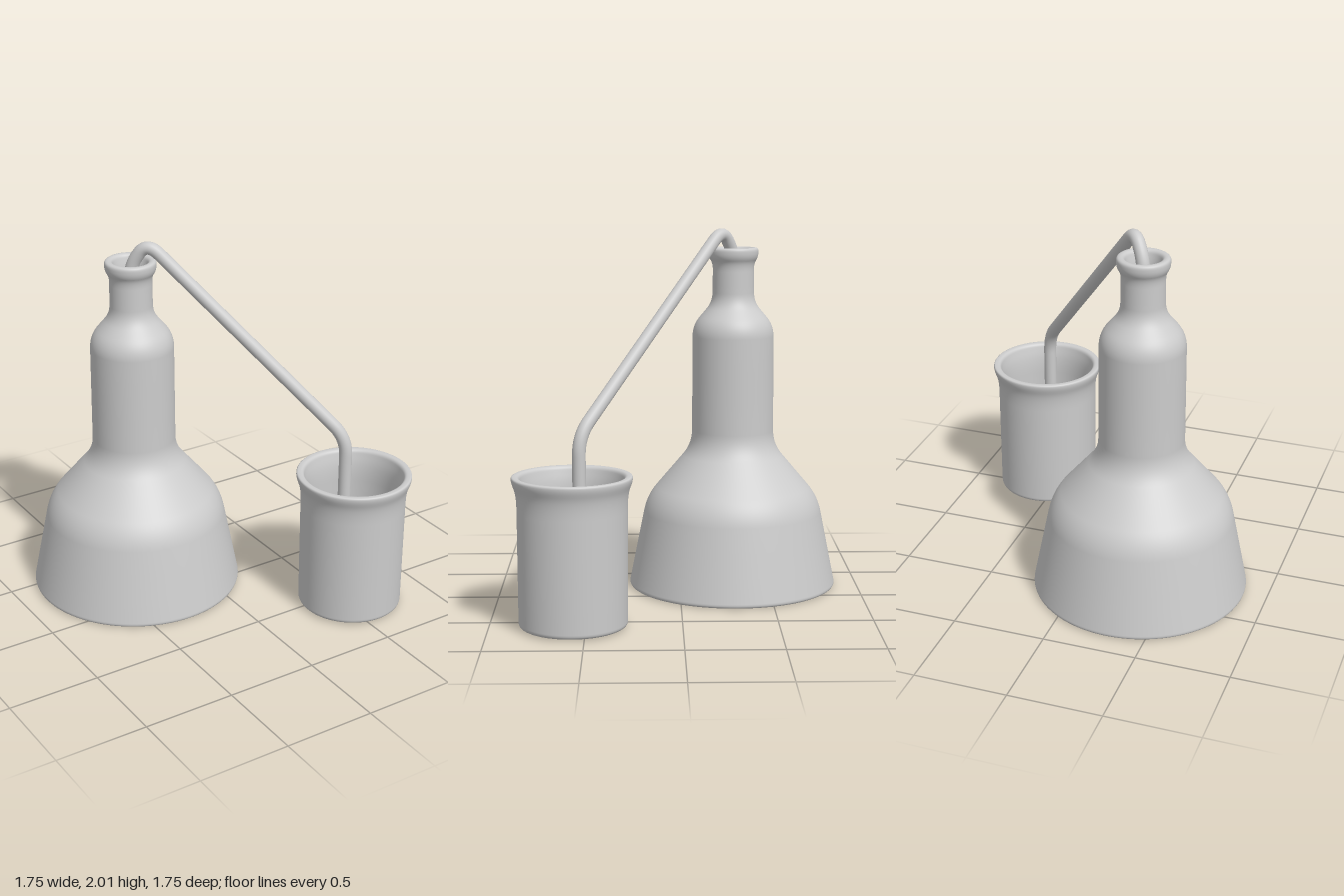
import * as THREE from 'three';

const material = new THREE.MeshStandardMaterial({ color: 0xcccccc, side: THREE.DoubleSide });

// Polyline whose corners [point, fillet length] are rounded by quadratic curves
function roundedPath(corners) {
  const path = new THREE.CurvePath();
  let from = corners[0][0];
  for (let i = 1; i < corners.length - 1; i++) {
    const [p, fillet] = corners[i];
    const toward = (q) => {
      const d = q.clone().sub(p);
      return p.clone().add(d.setLength(Math.min(fillet, d.length() * 0.48)));
    };
    const a = toward(corners[i - 1][0]);
    const b = toward(corners[i + 1][0]);
    path.add(new THREE.LineCurve3(from, a));
    path.add(new THREE.QuadraticBezierCurve3(a, p, b));
    from = b;
  }
  path.add(new THREE.LineCurve3(from, corners[corners.length - 1][0]));
  return path;
}

// Thick-walled vessel from [radius, height, fillet] rows: up the outside, down the inside
function vessel(name, rows, x, z) {
  const path = roundedPath(rows.map(([r, y, f = 0]) => [new THREE.Vector3(r, y, 0), f]));
  const profile = [];
  for (const curve of path.curves) {
    const steps = curve.isLineCurve3 ? 3 : 7;
    for (let i = profile.length ? 1 : 0; i <= steps; i++) {
      const p = curve.getPoint(i / steps);
      profile.push(new THREE.Vector2(Math.max(p.x, 0), p.y));
    }
  }
  const mesh = new THREE.Mesh(new THREE.LatheGeometry(profile, 96), material);
  mesh.name = name;
  mesh.position.set(x, 0, z);
  return mesh;
}

// Bent tube lying in the diagonal plane x = z, from [x, y, fillet] rows
function bentTube(name, rows, radius) {
  const path = roundedPath(rows.map(([s, y, f = 0]) => [new THREE.Vector3(s, y, s), f]));
  const group = new THREE.Group();
  group.name = name;
  const body = new THREE.Mesh(new THREE.TubeGeometry(path, 180, radius, 24), material);
  body.name = 'tubeBody';
  group.add(body);
  for (const t of [0, 1]) {
    const cap = new THREE.Mesh(new THREE.CircleGeometry(radius, 24), material);
    cap.name = 'tubeEnd';
    cap.position.copy(path.getPointAt(t));
    cap.rotation.x = Math.PI / 2;
    group.add(cap);
  }
  return group;
}

export function createModel() {
  const model = new THREE.Group();
  model.name = 'distillationSet';

  // Stepped flask with a narrow neck and rolled lip
  model.add(vessel('flask', [
    [0, 0], [0.582, 0, 0.025], [0.482, 0.5, 0.08], [0.228, 0.8, 0.08],
    [0.225, 1.47, 0.06], [0.116, 1.6, 0.05], [0.113, 1.81, 0.04],
    [0.138, 1.85, 0.025], [0.138, 1.9, 0.02], [0.098, 1.9, 0.02],
    [0.076, 1.82, 0.04], [0.076, 1.59, 0.05], [0.185, 1.45, 0.06],
    [0.188, 0.79, 0.08], [0.445, 0.48, 0.08], [0.535, 0.04, 0.025], [0, 0.04],
  ], -0.3, -0.3));

  // Open beaker with a flared rim
  model.add(vessel('beaker', [
    [0, 0.005], [0.282, 0.005, 0.025], [0.284, 0.69, 0.08], [0.311, 0.765, 0.02],
    [0.311, 0.79, 0.012], [0.272, 0.79, 0.02], [0.247, 0.69, 0.08],
    [0.247, 0.04, 0.02], [0, 0.04],
  ], 0.565, 0.565));

  // Tube from the flask neck over to the beaker
  model.add(bentTube('deliveryTube', [
    [-0.3, 1.4], [-0.3, 1.87, 0.07], [-0.235, 2.005, 0.09],
    [0.53, 0.988, 0.1], [0.53, 0.2],
  ], 0.035));

  return model;
}
